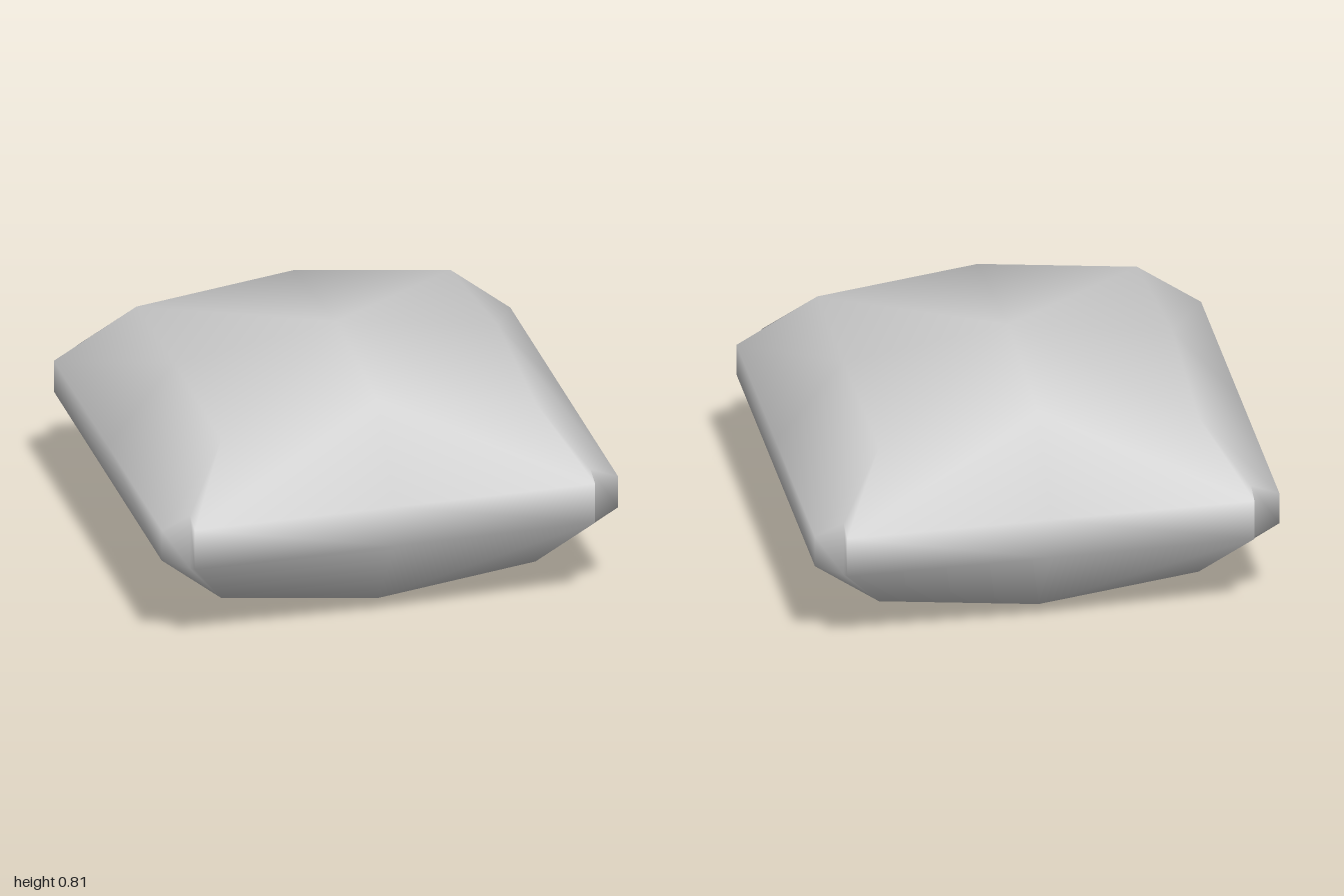
import * as THREE from 'three';

// One quarter of the cushion's upper half: [x, height above the seam, z],
// indexed by steps from the centre along x, then along z
const QUARTER = [
  [[0, 0.405, 0], [0, 0.353, 0.52], [0, 0.07, 0.73]],
  [[0.545, 0.325, 0], [0.53, 0.285, 0.525], [0.675, 0.07, 0.73]],
  [[0.77, 0.055, 0], [0.77, 0.055, 0.667], [0.675, 0.095, 0.67]],
];
const N = 5; // grid points per side

function cushionGeometry() {
  const positions = [];
  const index = [];

  // Mirror the quarter into a full 5 x 5 grid for the top, then the bottom
  for (const side of [1, -1]) {
    for (let i = 0; i < N; i++) {
      for (let j = 0; j < N; j++) {
        const [x, y, z] = QUARTER[Math.abs(i - 2)][Math.abs(j - 2)];
        positions.push(Math.sign(i - 2) * x, side * y, Math.sign(j - 2) * z);
      }
    }
  }
  const top = (i, j) => i * N + j;
  const under = N * N;

  // Puffed top and bottom panels
  for (let i = 0; i < N - 1; i++) {
    for (let j = 0; j < N - 1; j++) {
      const a = top(i, j), b = top(i, j + 1), c = top(i + 1, j + 1), d = top(i + 1, j);
      // The diagonals run from the centre towards the corners
      const tris = (i < 2) === (j < 2) ? [a, b, c, a, c, d] : [a, b, d, b, c, d];
      index.push(...tris, ...tris.map((k) => k + under).reverse());
    }
  }

  // Narrow side band around the pinched outline
  const rim = [];
  for (let k = 0; k < N - 1; k++) rim.push(top(k, 0));
  for (let k = 0; k < N - 1; k++) rim.push(top(N - 1, k));
  for (let k = N - 1; k > 0; k--) rim.push(top(k, N - 1));
  for (let k = N - 1; k > 0; k--) rim.push(top(0, k));
  rim.forEach((p, k) => {
    const q = rim[(k + 1) % rim.length];
    index.push(p, q, p + under, q, q + under, p + under);
  });

  const geometry = new THREE.BufferGeometry();
  geometry.setAttribute('position', new THREE.Float32BufferAttribute(positions, 3));
  geometry.setIndex(index);
  geometry.computeVertexNormals();
  return geometry;
}

export function createModel() {
  const group = new THREE.Group();
  group.name = 'pillow';

  const fabric = new THREE.MeshStandardMaterial({ color: 0xcfcfcf });
  fabric.name = 'light grey fabric';

  const cushion = new THREE.Mesh(cushionGeometry(), fabric);
  cushion.name = 'cushion';
  cushion.position.y = 0.405;
  cushion.rotation.y = -Math.PI / 6; // lies turned on the ground
  group.add(cushion);
  return group;
}
